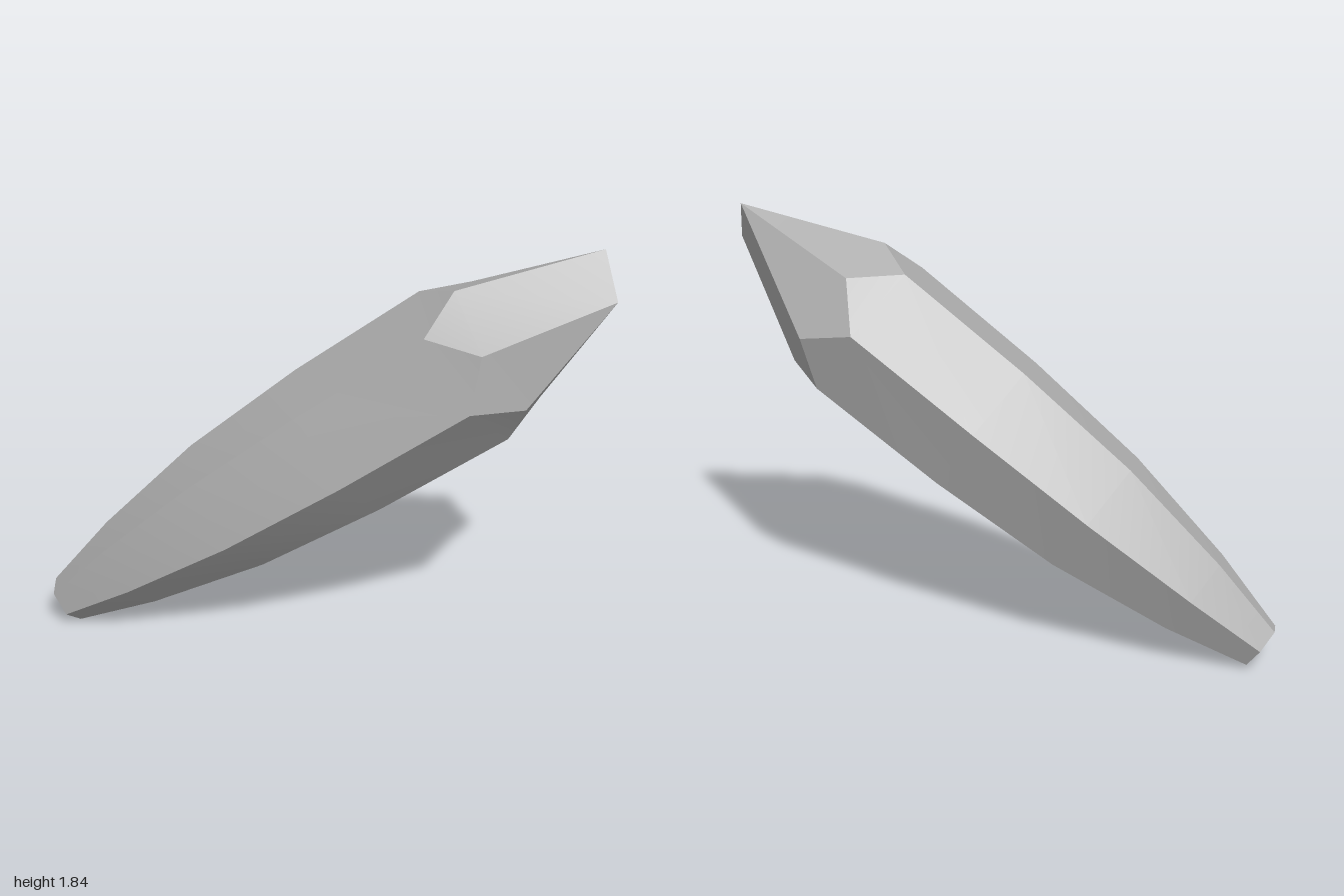
import * as THREE from 'three';
import { toCreasedNormals } from 'three/addons/utils/BufferGeometryUtils.js';

export function createModel() {
  const group = new THREE.Group();
  group.name = 'crystal';
  const stone = new THREE.MeshStandardMaterial({ color: 0xb0b0b0 });
  stone.name = 'stone grey';

  // Leaning axis from the narrow base to the shoulder, with two directions across it
  const base = new THREE.Vector3(-0.92, 0.09, -0.66);
  const axis = new THREE.Vector3(1.435, 1.245, 1.0);
  const n = axis.clone().normalize();
  const u = new THREE.Vector3(-0.742, 0.574, 0.336);
  u.addScaledVector(n, -u.dot(n)).normalize();
  const v = n.clone().cross(u);

  // Six corners of a cross-section at t along the axis
  const ring = (t, r, turn = 0) => Array.from({ length: 6 }, (_, k) => {
    const a = k * Math.PI / 3 + turn;
    return base.clone().addScaledVector(axis, t)
      .addScaledVector(u, r * Math.cos(a)).addScaledVector(v, r * Math.sin(a));
  });

  const pos = [];
  const tri = (...p) => p.forEach((q) => pos.push(q.x, q.y, q.z));
  const quad = (a, b, c, d) => { tri(a, b, c); tri(a, c, d); };

  // Six-sided shaft that swells towards the shoulder
  const rings = [[0, 0.108], [0.17, 0.207], [0.422, 0.304], [0.70, 0.348], [1, 0.358]]
    .map(([t, r]) => ring(t, r));
  for (let i = 0; i < rings.length - 1; i++) {
    const a = rings[i], b = rings[i + 1];
    for (let k = 0; k < 6; k++) {
      const j = (k + 1) % 6;
      quad(a[k], a[j], b[j], b[k]);
    }
  }

  // Flat base
  const foot = rings[0];
  for (let k = 1; k < 5; k++) tri(foot[0], foot[k + 1], foot[k]);

  // Bevelled shoulder: the next ring is turned by half a side
  const s = rings[4], w = ring(1.08, 0.325, Math.PI / 6);
  for (let k = 0; k < 6; k++) {
    const j = (k + 1) % 6;
    tri(s[k], s[j], w[k]);
    tri(s[j], w[j], w[k]);
  }

  // Chisel tip ending in a short edge
  const top = new THREE.Vector3(1.0, 1.85, 0.61);
  const low = new THREE.Vector3(0.98, 1.67, 0.745);
  quad(w[5], w[0], low, top);
  tri(w[0], w[1], low);
  tri(w[1], w[2], low);
  quad(w[2], w[3], top, low);
  tri(w[3], w[4], top);
  tri(w[4], w[5], top);

  const geo = new THREE.BufferGeometry();
  geo.setAttribute('position', new THREE.Float32BufferAttribute(pos, 3));
  const mesh = new THREE.Mesh(toCreasedNormals(geo, 0.5), stone);
  mesh.name = 'crystalShard';
  group.add(mesh);
  return group;
}
